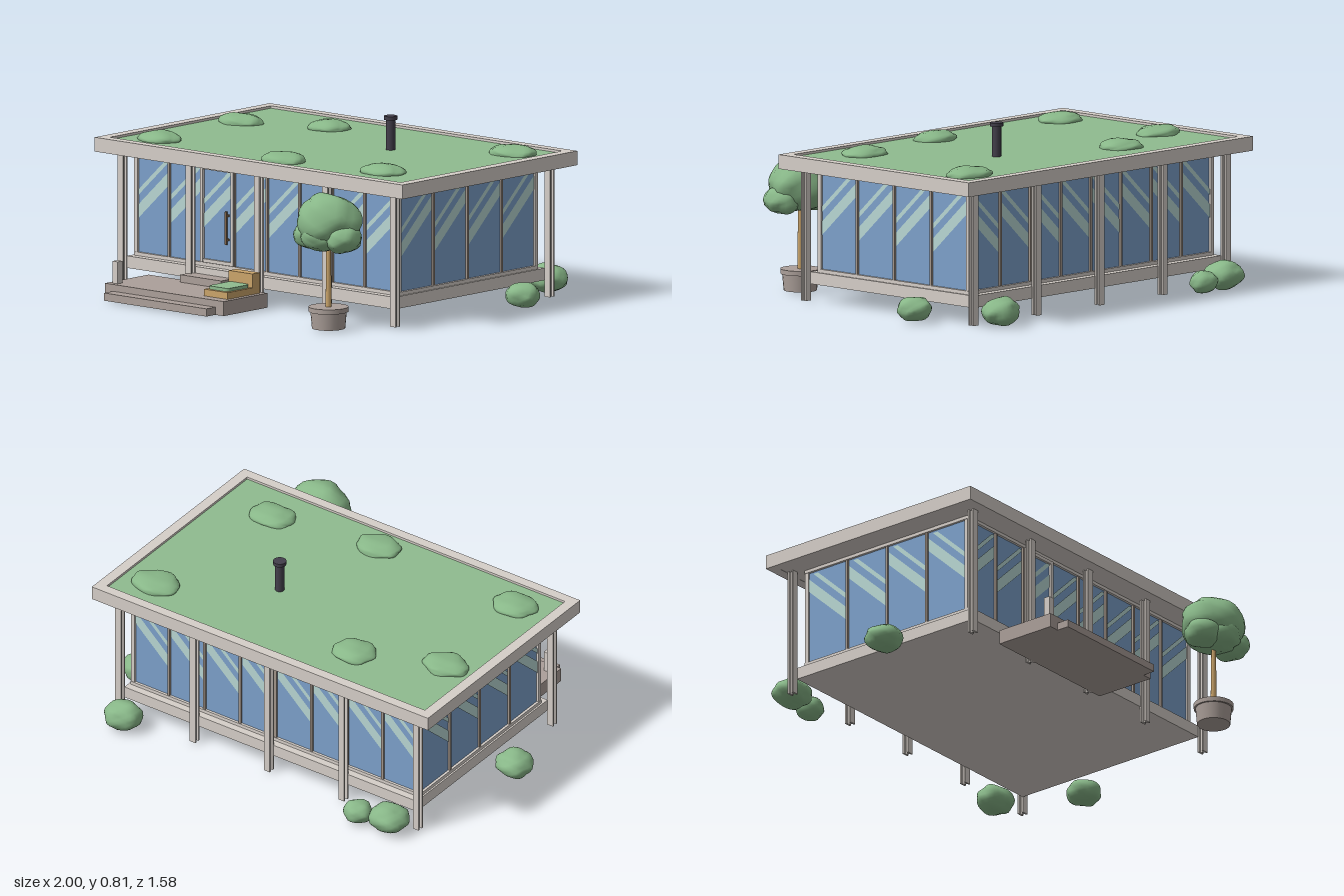
import * as THREE from 'three';
import { mergeVertices } from 'three/addons/utils/BufferGeometryUtils.js';

const mat = (name, color, side = THREE.FrontSide) => {
  const m = new THREE.MeshStandardMaterial({ color, side });
  m.name = name;
  return m;
};

export function createModel() {
  const steel = mat('pale steel', 0xd6cfc9);
  const glass = mat('blue glass', 0x7da1cb);
  const glare = mat('glass glare', 0xb9d8d4, THREE.DoubleSide);
  const bronze = mat('window bars', 0xa3968b);
  const grass = mat('roof grass', 0x8fbc8f);
  const leaf = mat('leaves', 0x88b788);
  const stone = mat('stone', 0xaca09a);
  const wood = mat('wood', 0xcba56b);
  const brown = mat('dark wood', 0x80654c);
  const dark = mat('chimney metal', 0x433f4b);

  const model = new THREE.Group();
  const CX = 0.005, CZ = -0.1; // centre of the house

  const add = (parent, name, geo, material, x = 0, y = 0, z = 0) => {
    const m = new THREE.Mesh(geo, material);
    m.name = name;
    m.position.set(x, y, z);
    parent.add(m);
    return m;
  };
  // Box given by its extents
  const box = (parent, name, material, x0, x1, y0, y1, z0, z1) =>
    add(parent, name, new THREE.BoxGeometry(x1 - x0, y1 - y0, z1 - z0), material,
      (x0 + x1) / 2, (y0 + y1) / 2, (z0 + z1) / 2);
  const drum = (name, material, r0, r1, y0, y1, x, z, sides = 24) =>
    add(model, name, new THREE.CylinderGeometry(r1, r0, y1 - y0, sides), material, x, (y0 + y1) / 2, z);
  const polygon = (pts) => new THREE.Shape(pts.map(([x, y]) => new THREE.Vector2(x, y)));

  // Lumpy smooth shrub
  const shrub = (name, x, y, z, rx, ry, rz, seed) => {
    let geo = new THREE.IcosahedronGeometry(1, 4);
    geo.deleteAttribute('normal');
    geo.deleteAttribute('uv');
    geo = mergeVertices(geo, 1e-4);
    const p = geo.attributes.position, v = new THREE.Vector3();
    for (let i = 0; i < p.count; i++) {
      v.fromBufferAttribute(p, i);
      const k = 0.95 + 0.06 * Math.sin(4 * v.x + seed) * Math.cos(3.5 * v.z - seed * 2)
        + 0.05 * Math.abs(Math.sin(4.5 * v.y + 3 * v.x + seed * 1.7))
        + 0.03 * Math.sin(7 * v.z + 5 * v.y + seed * 3);
      p.setXYZ(i, v.x * k * rx, v.y * k * ry, v.z * k * rz);
    }
    geo.computeVertexNormals();
    add(model, name, geo, leaf, x, y, z);
  };

  // Roof: raised rim around a grass bed
  const rect = (hx, hz) => [[-hx, -hz], [hx, -hz], [hx, hz], [-hx, hz]];
  const rimShape = polygon(rect(0.925, 0.59));
  rimShape.holes.push(polygon(rect(0.875, 0.543)));
  const rim = new THREE.ExtrudeGeometry(rimShape, { depth: 0.065, bevelEnabled: false });
  rim.rotateX(-Math.PI / 2);
  add(model, 'roofRim', rim, steel, CX, 0.602, CZ);
  box(model, 'roofSlab', steel, CX - 0.88, CX + 0.88, 0.603, 0.64, CZ - 0.55, CZ + 0.55);
  box(model, 'roofGrass', grass, CX - 0.875, CX + 0.875, 0.64, 0.656, CZ - 0.543, CZ + 0.543);

  // Raised floor and glazed core
  box(model, 'floorSlab', steel, CX - 0.805, CX + 0.805, 0.075, 0.13, CZ - 0.507, CZ + 0.507);
  const HX = 0.785, HZ = 0.46;
  box(model, 'glassCore', glass, CX - HX, CX + HX, 0.13, 0.603, CZ - HZ, CZ + HZ);

  // Steel H columns along front and back
  const h = 0.016, f = 0.008, w = 0.004;
  const hShape = polygon([[-h, -h], [h, -h], [h, -f], [w, -f], [w, f], [h, f],
    [h, h], [-h, h], [-h, f], [-w, f], [-w, -f], [-h, -f]]);
  const hGeo = new THREE.ExtrudeGeometry(hShape, { depth: 0.604, bevelEnabled: false });
  hGeo.rotateX(-Math.PI / 2);
  for (const z of [CZ - 0.52, CZ + 0.52])
    for (let i = -2; i <= 2; i++) add(model, 'column', hGeo, steel, CX + i * 0.41, 0, z);

  // Diagonal glare bands on one pane
  const glareBands = (parent, x0, x1, flip, z) => {
    const s = 0.93, top = 0.578, W = x1 - x0;
    for (const [a, b] of [[0.3, 0.362], [0.405, 0.43]]) {
      const end = (y) => (y + s * W > top ? [(top - y) / s, top] : [W, y + s * W]);
      const pts = [[0, a], end(a)];
      if (a + s * W < top && b + s * W > top) pts.push([W, top]);
      pts.push(end(b), [0, b]);
      const shape = polygon(pts.map(([x, y]) => [flip ? x1 - x : x0 + x, y]));
      add(parent, 'glare', new THREE.ShapeGeometry(shape), glare, 0, 0, z);
    }
  };

  // One window wall, built facing +z
  const wall = (name, half, n, flip, x, z, turn, doorAt = -1) => {
    const g = new THREE.Group();
    g.name = name;
    box(g, 'sill', steel, -half - 0.01, half + 0.01, 0.13, 0.146, -0.01, 0.012);
    box(g, 'headRail', steel, -half - 0.01, half + 0.01, 0.588, 0.603, -0.01, 0.012);
    const step = (2 * half) / n;
    for (let i = 0; i <= n; i++) {
      const mx = -half + i * step, edge = i === 0 || i === n;
      const t = edge ? 0.01 : 0.006;
      box(g, 'mullion', edge ? steel : bronze, mx - t, mx + t, 0.146, 0.588, -0.01, 0.01);
      if (i < n) glareBands(g, mx + 0.01, mx + step - 0.01, flip, i === doorAt ? 0.009 : 0.004);
    }
    g.position.set(x, 0, z);
    g.rotation.y = turn;
    model.add(g);
  };
  wall('frontWall', HX, 8, false, CX, CZ + HZ, 0, 2);
  wall('backWall', HX, 8, true, CX, CZ - HZ, Math.PI);
  wall('leftWall', HZ, 4, false, CX + HX, CZ, Math.PI / 2);
  wall('rightWall', HZ, 4, true, CX - HX, CZ, -Math.PI / 2);

  // Door with frame, pane and pull handle
  const door = new THREE.Group();
  door.name = 'door';
  model.add(door);
  box(door, 'doorPane', glass, -0.375, -0.2, 0.16, 0.58, 0.355, 0.366);
  for (const x of [-0.386, -0.204]) box(door, 'doorStile', steel, x, x + 0.016, 0.148, 0.588, 0.352, 0.378);
  for (const y of [0.148, 0.572]) box(door, 'doorRail', steel, -0.386, -0.188, y, y + 0.016, 0.352, 0.377);
  box(door, 'handle', brown, -0.23, -0.22, 0.245, 0.395, 0.378, 0.387);
  for (const y of [0.26, 0.37]) box(door, 'handleMount', brown, -0.229, -0.221, y, y + 0.01, 0.36, 0.38);

  // Terrace, steps and bollard
  box(model, 'terrace', stone, -0.645, 0.07, 0, 0.066, 0.435, 0.73);
  box(model, 'lowerStep', stone, -0.595, 0.02, 0, 0.035, 0.73, 0.79);
  box(model, 'upperStep', stone, -0.41, -0.165, 0.066, 0.1, 0.407, 0.485);
  box(model, 'bollard', steel, -0.622, -0.59, 0.066, 0.166, 0.673, 0.705);

  // Lounge seat with cushion
  box(model, 'seatBase', wood, -0.096, 0.046, 0.066, 0.097, 0.46, 0.677);
  box(model, 'seatBack', wood, -0.096, 0.046, 0.097, 0.16, 0.46, 0.51);
  const c = new THREE.Shape();
  c.absarc(0.04, 0.055, 0.02, 0, Math.PI / 2);
  c.absarc(-0.04, 0.055, 0.02, Math.PI / 2, Math.PI);
  c.absarc(-0.04, -0.055, 0.02, Math.PI, Math.PI * 1.5);
  c.absarc(0.04, -0.055, 0.02, Math.PI * 1.5, Math.PI * 2);
  const cushion = new THREE.ExtrudeGeometry(c, { depth: 0.015, bevelEnabled: false, curveSegments: 5 });
  cushion.rotateX(-Math.PI / 2);
  add(model, 'cushion', cushion, grass, -0.025, 0.097, 0.588);

  // Chimney
  drum('chimneyPipe', dark, 0.021, 0.021, 0.65, 0.795, 0.24, -0.205);
  drum('chimneyCap', dark, 0.03, 0.03, 0.793, 0.81, 0.24, -0.205);

  // Potted tree
  const TX = 0.625, TZ = 0.645;
  drum('pot', stone, 0.075, 0.082, 0, 0.078, TX, TZ);
  drum('potRim', stone, 0.09, 0.09, 0.076, 0.098, TX, TZ);
  drum('trunk', wood, 0.014, 0.01, 0.095, 0.42, TX, TZ, 12);
  shrub('crown', 0.625, 0.485, 0.645, 0.155, 0.13, 0.14, 1);
  shrub('crownLobe', 0.53, 0.415, 0.655, 0.08, 0.065, 0.085, 2);
  shrub('crownLobe', 0.725, 0.42, 0.66, 0.082, 0.068, 0.09, 3.3);
  shrub('crownLobe', 0.62, 0.425, 0.69, 0.09, 0.07, 0.09, 4.1);

  // Ground shrubs
  [[-0.915, 0.06, -0.01, 0.088, 0.062, 0.085], [0.915, 0.055, -0.34, 0.08, 0.057, 0.082],
    [0.74, 0.063, -0.71, 0.092, 0.066, 0.082], [-0.715, 0.063, -0.705, 0.097, 0.066, 0.085],
    [-0.56, 0.05, -0.725, 0.067, 0.053, 0.065]]
    .forEach((a, i) => shrub('groundShrub', ...a, i * 1.3 + 0.5));

  // Low shrubs on the roof
  [[-0.33, -0.43, 0.105, 0.092], [-0.73, -0.28, 0.113, 0.088], [-0.7, 0.295, 0.11, 0.09],
    [0.075, 0.33, 0.11, 0.088], [0.61, 0.26, 0.115, 0.088], [0.72, -0.49, 0.118, 0.095]]
    .forEach(([x, z, rx, rz], i) => shrub('roofShrub', x, 0.66, z, rx, 0.037, rz, i * 1.1 + 0.3));

  return model;
}
